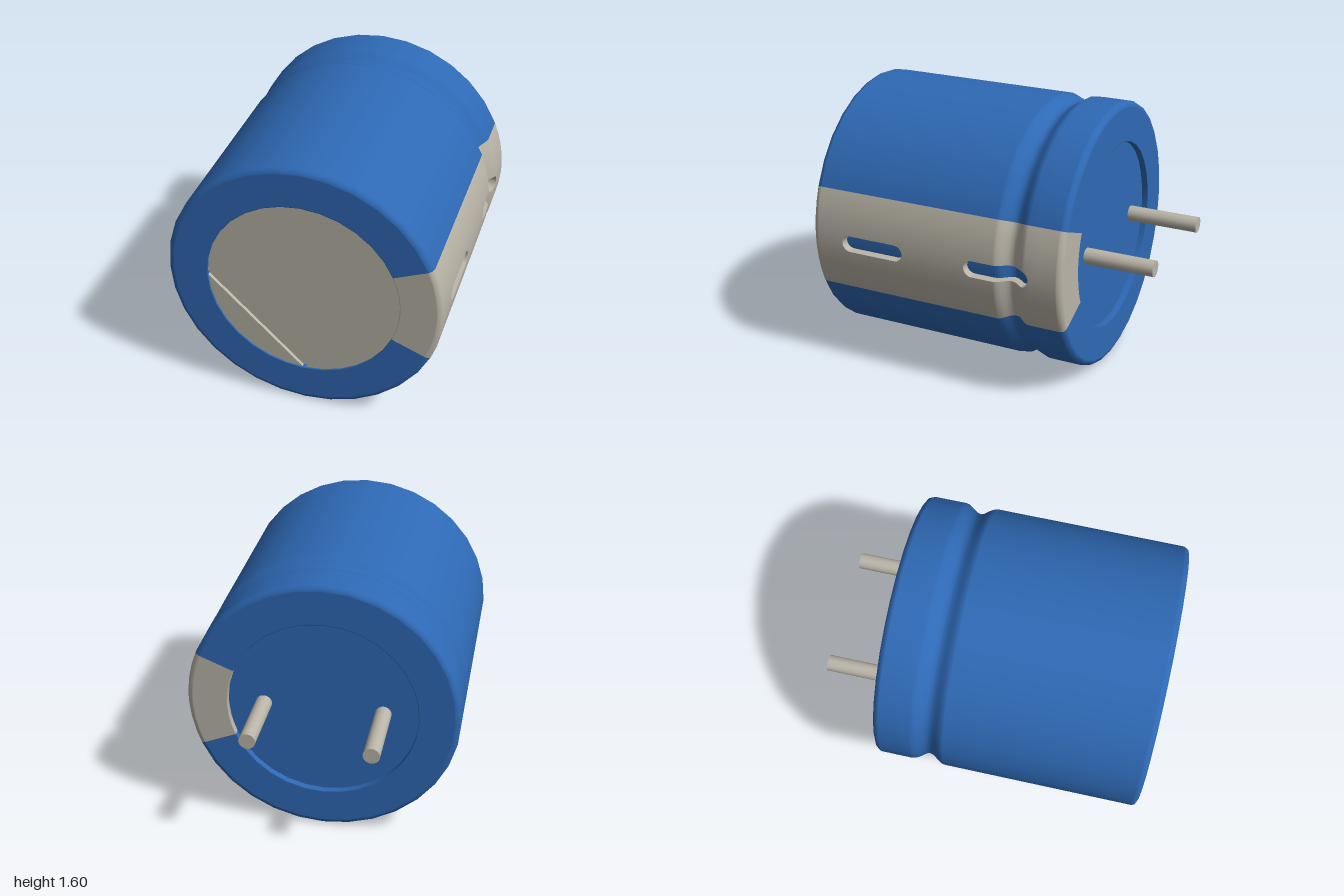
import * as THREE from 'three';
import { ParametricGeometry } from 'three/addons/geometries/ParametricGeometry.js';

const R = 0.8, INNER = 0.56, AXIS_Y = 0.8;
const STRIPE = Math.PI / 8;          // half angle of the pale stripe
const SLOT = 0.05 / R;               // half angle of a slot
const DEPTH = 0.05;                  // slot depth
const SLOTS = [0.6, -0.2];           // slot centres along the axis
const CUT_BACK = -0.45, CUT_FRONT = 0.85;

// Can radius at a position along the axis, with the crimped groove
function radius(z) {
  const t = (z + 0.28) / 0.1;
  return Math.abs(t) < 1 ? R - 0.025 * (1 + Math.cos(Math.PI * t)) : R;
}

// Sleeve profile as [radius, z], from the back lip to the front lip
const backRim = [[INNER, -0.56], [INNER, -0.598], [INNER + 0.002, -0.6], [INNER + 0.006, -0.6],
  [0.765, -0.6], [0.772, -0.6], [0.791, -0.591], [R, -0.572], [R, -0.565], [R, CUT_BACK]];
const groove = [];
for (let i = 0; i <= 10; i++) groove.push([radius(-0.38 + i * 0.02), -0.38 + i * 0.02]);
const frontRim = [[R, CUT_FRONT], [R, 0.965], [R, 0.972], [0.791, 0.991], [0.772, 1], [0.765, 1],
  [INNER + 0.006, 1], [INNER + 0.002, 1], [INNER, 0.998], [INNER, 0.965]];
const profile = [...backRim, ...groove, ...frontRim];

// Lathe around z between two angles measured from +x towards +y
function turn(points, from, to, segments) {
  const pts = points.map(([r, z]) => new THREE.Vector2(r, z));
  return new THREE.LatheGeometry(pts, segments, Math.PI / 2 + from, to - from).rotateX(Math.PI / 2);
}

function polar(r, a, z, target) {
  target.set(r * Math.cos(a), r * Math.sin(a), z);
}

export function createModel() {
  const blue = new THREE.MeshStandardMaterial({ color: 0x2e69b5, side: THREE.DoubleSide });
  blue.name = 'blue sleeve';
  const pale = new THREE.MeshStandardMaterial({ color: 0xbab5a8, side: THREE.DoubleSide });
  pale.name = 'pale metal';

  const model = new THREE.Group();
  model.name = 'capacitor';
  const can = new THREE.Group();
  can.name = 'can';
  can.position.y = AXIS_Y;
  model.add(can);

  function add(name, geometry, material) {
    const mesh = new THREE.Mesh(geometry, material);
    mesh.name = name;
    can.add(mesh);
    return mesh;
  }

  // Blue sleeve around everything but the stripe
  add('sleeve', turn(profile, STRIPE, 2 * Math.PI - STRIPE, 28), blue);

  // Pale stripe on either side of the slots, and its ends over the rims
  add('stripeUpper', turn(profile, SLOT, STRIPE, 3), pale);
  add('stripeLower', turn(profile, -STRIPE, -SLOT, 3), pale);
  add('stripeBack', turn(backRim, -SLOT, SLOT, 4), pale);
  add('stripeFront', turn(frontRim, -SLOT, SLOT, 4), pale);

  // Stripe pieces between the rounded slot ends
  const end = (centre, side, s) => centre + side * (0.15 + 0.05 * Math.cos(s));
  const bridges = [
    [() => CUT_BACK, s => end(SLOTS[1], -1, s)],
    [s => end(SLOTS[1], 1, s), s => end(SLOTS[0], -1, s)],
    [s => end(SLOTS[0], 1, s), () => CUT_FRONT],
  ];
  for (const [zFrom, zTo] of bridges) {
    const patch = (u, v, target) => {
      const s = (u - 0.5) * Math.PI;
      const z = THREE.MathUtils.lerp(zFrom(s), zTo(s), v);
      polar(radius(z), SLOT * Math.sin(s), z, target);
    };
    add('stripeBridge', new ParametricGeometry(patch, 12, 2), pale);
  }

  // Slot walls follow a rounded outline, the floors follow the groove
  for (const centre of SLOTS) {
    const outline = [];
    for (const side of [1, -1]) {
      for (let i = 0; i <= 12; i++) {
        const s = side * (i / 12 - 0.5) * Math.PI;
        outline.push([SLOT * Math.sin(s), end(centre, side, s)]);
      }
      for (let i = 1; i < 15; i++) outline.push([side * SLOT, centre + side * (0.15 - i * 0.02)]);
    }
    outline.push(outline[0]);
    const steps = outline.length - 1;
    const wall = (u, v, target) => {
      const [a, z] = outline[Math.round(THREE.MathUtils.clamp(u, 0, 1) * steps)];
      polar(radius(z) - DEPTH * v, a, z, target);
    };
    const walls = new ParametricGeometry(wall, steps, 1);
    walls.computeVertexNormals();
    add('slotWall', walls, pale);

    const floor = [];
    for (let i = 0; i <= 21; i++) {
      const z = centre - 0.21 + i * 0.02;
      floor.push([radius(z) - DEPTH, z]);
    }
    add('slotFloor', turn(floor, -SLOT * 1.1, SLOT * 1.1, 3), blue);
  }

  // Front disc: a base plate with four raised quarters leaving a cross groove
  add('frontPlate', new THREE.CircleGeometry(INNER, 32), pale).position.z = 0.97;
  const gap = 0.01, edge = Math.asin(gap / INNER);
  const quarter = new THREE.Shape();
  quarter.moveTo(gap, gap);
  quarter.absarc(0, 0, INNER, edge, Math.PI / 2 - edge, false);
  quarter.closePath();
  const quarterGeometry = new THREE.ExtrudeGeometry(quarter, {
    depth: 0.02, bevelEnabled: false, curveSegments: 8,
  });
  for (let i = 0; i < 4; i++) {
    const piece = add('frontQuarter', quarterGeometry, pale);
    piece.position.z = 0.972;
    piece.rotation.z = i * Math.PI / 2;
  }

  // Recessed back disc
  const back = add('backPlate', new THREE.CircleGeometry(INNER, 32), blue);
  back.position.z = -0.562;
  back.rotation.y = Math.PI;

  // Two leads, the one by the stripe slightly shorter
  for (const [x, tip] of [[-0.35, -1], [0.35, -0.98]]) {
    const length = -0.55 - tip;
    const lead = add('lead', new THREE.CylinderGeometry(0.048, 0.048, length, 20), pale);
    lead.rotation.x = Math.PI / 2;
    lead.position.set(x, 0, tip + length / 2);
  }

  return model;
}
